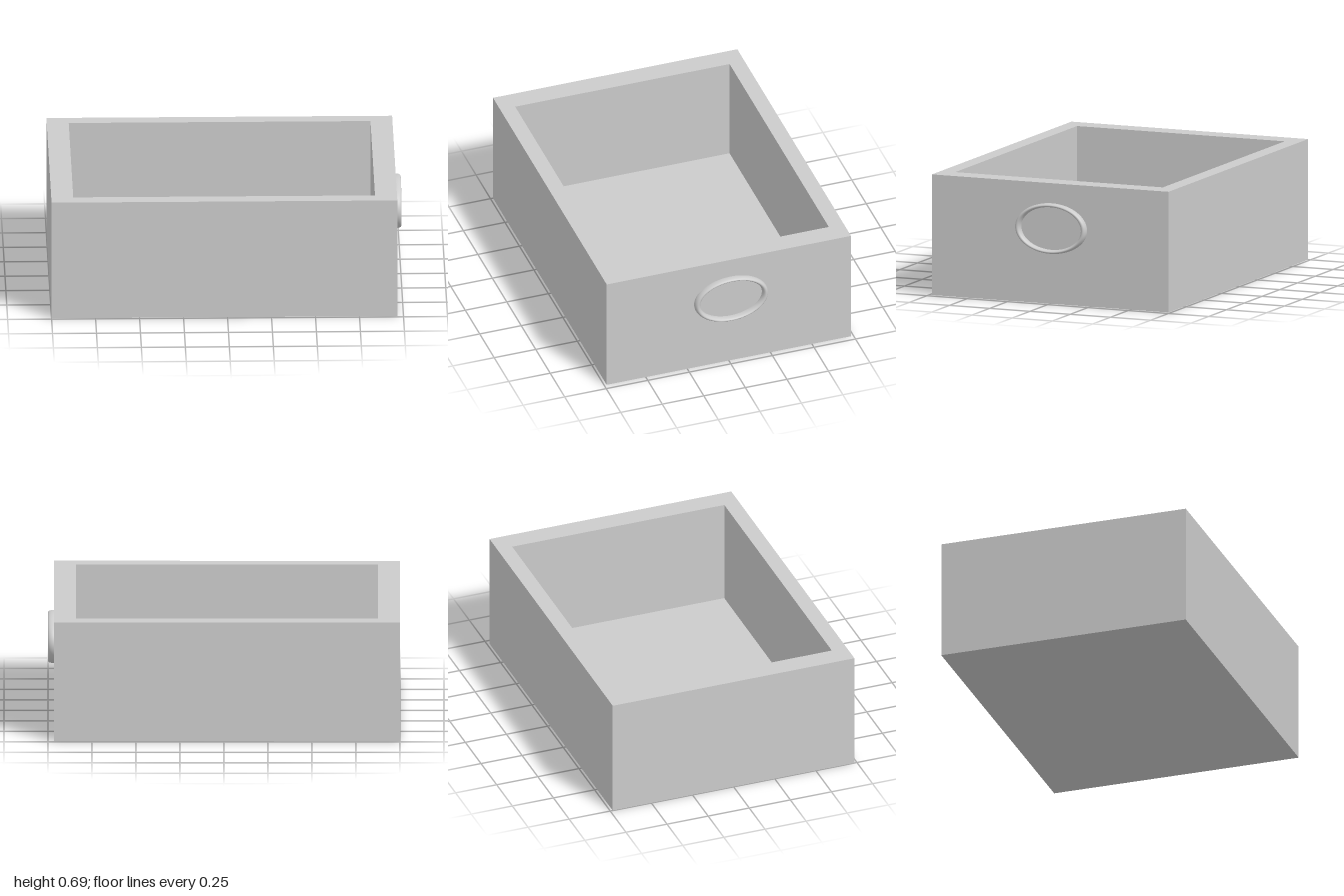
import * as THREE from 'three';

const rect = (T, x0, x1, z0, z1) => {
  const r = new T();
  r.moveTo(x0, z0);
  r.lineTo(x1, z0);
  r.lineTo(x1, z1);
  r.lineTo(x0, z1);
  r.closePath();
  return r;
};

export function createModel() {
  const group = new THREE.Group();
  const material = new THREE.MeshStandardMaterial({ color: 0xcccccc });
  const add = (name, geometry) => {
    const mesh = new THREE.Mesh(geometry, material);
    mesh.name = name;
    group.add(mesh);
    return mesh;
  };
  const height = 0.695, floor = 0.077;

  // Four thick walls as one extruded frame, standing on the floor slab
  const outline = rect(THREE.Shape, -1, 0.965, -0.735, 0.735);
  outline.holes.push(rect(THREE.Path, -0.875, 0.84, -0.645, 0.645));
  const walls = new THREE.ExtrudeGeometry(outline, { depth: height - floor, bevelEnabled: false });
  walls.rotateX(-Math.PI / 2);
  add('walls', walls).position.y = floor;

  // Floor slab
  const slab = new THREE.BoxGeometry(1.965, floor, 1.47);
  add('floor', slab).position.set(-0.0175, floor / 2, 0);

  // Oval pull ring, half sunk into the side wall
  const ring = new THREE.TorusGeometry(0.204, 0.0165, 24, 96);
  ring.rotateY(Math.PI / 2);
  ring.scale(1.6, 0.658, 1);
  add('pullRing', ring).position.set(0.9736, 0.435, -0.01);

  return group;
}
